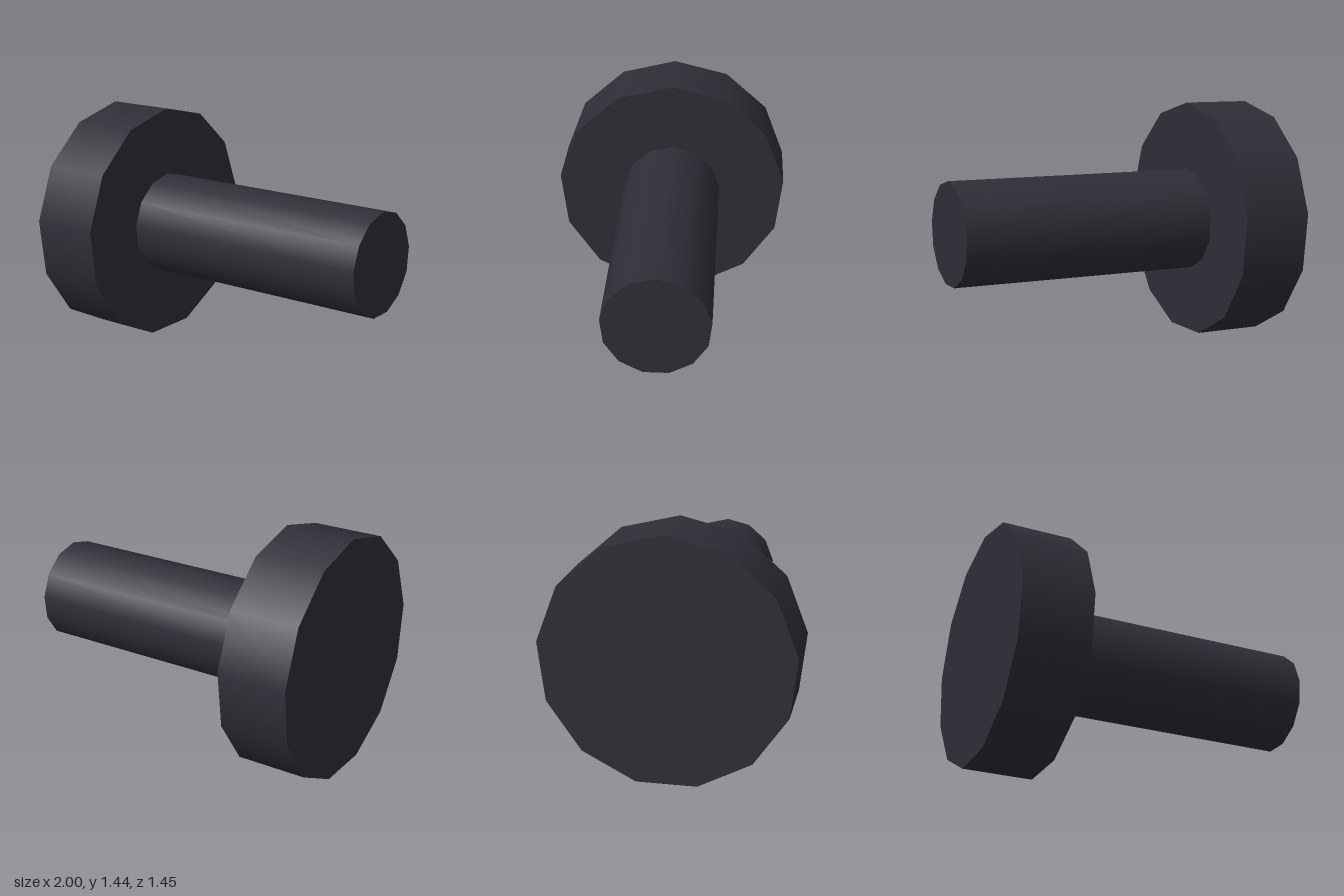
import * as THREE from 'three';

const SIDES = 13;
const AXIS_Y = 0.708;

export function createModel() {
  const model = new THREE.Group();
  const darkMetal = new THREE.MeshStandardMaterial({ color: 0x2f2e37 });
  darkMetal.name = 'darkMetal';

  // Cylinder lying along x, with one corner pointing straight up
  function addRod(name, radius, x0, x1) {
    const geometry = new THREE.CylinderGeometry(radius, radius, x1 - x0, SIDES);
    geometry.rotateZ(-Math.PI / 2).rotateX(-Math.PI / 2);
    const mesh = new THREE.Mesh(geometry, darkMetal);
    mesh.name = name;
    mesh.position.set((x0 + x1) / 2, AXIS_Y, 0);
    model.add(mesh);
  }

  addRod('head', 0.729, -1, -0.575);
  addRod('shaft', 0.312, -0.575, 1);

  return model;
}
